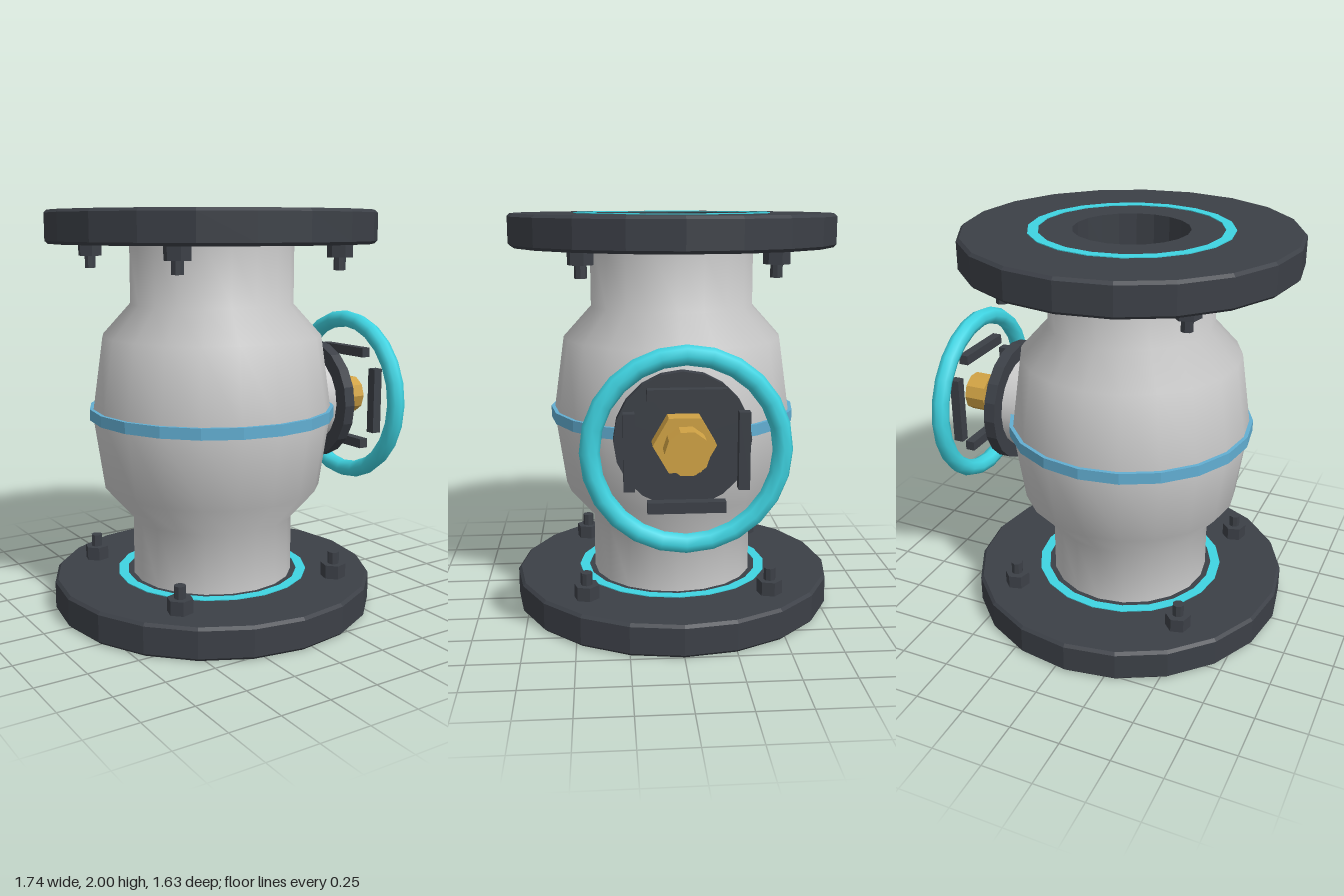
import * as THREE from 'three';

const SIDES = 20;
const AXIS_X = -0.055; // vertical pipe axis

const mat = (color, flatShading = true) => new THREE.MeshStandardMaterial({ color, flatShading });
const dark = mat(0x3c4047);
const shell = mat(0xcccccc, false);
const cyan = mat(0x3fd4e2);
const cyanSmooth = mat(0x3fd4e2, false);
const blue = mat(0x62aed2);
const brass = mat(0xd0a244);

function add(parent, name, geometry, material, x = 0, y = 0, z = 0) {
  const mesh = new THREE.Mesh(geometry, material);
  mesh.name = name;
  mesh.position.set(x, y, z);
  parent.add(mesh);
  return mesh;
}

const lathe = (pts) => new THREE.LatheGeometry(pts.map(([r, y]) => new THREE.Vector2(r, y)), SIDES);

// Rectangular-section ring, its lower face at y = 0
const ring = (ri, ro, h) => lathe([[ri, 0], [ro, 0], [ro, h], [ri, h], [ri, 0]]);

// Cylinder lying along x between x0 and x1
function rod(parent, name, r, x0, x1, sides, material, turn = 0) {
  const geo = new THREE.CylinderGeometry(r, r, x1 - x0, sides, 1, false, turn);
  geo.rotateZ(-Math.PI / 2);
  return add(parent, name, geo, material, (x0 + x1) / 2, 0, 0);
}

export function createModel() {
  const model = new THREE.Group();
  model.name = 'valve';

  const pipe = new THREE.Group();
  pipe.name = 'pipe';
  pipe.position.x = AXIS_X;
  model.add(pipe);

  // Swollen body with straight necks, closed at both ends
  add(pipe, 'body', lathe([
    [0.41, 0.16], [0.41, 0.46], [0.55, 0.62], [0.605, 1.0],
    [0.55, 1.385], [0.41, 1.54], [0.41, 1.84],
  ]), shell);
  add(pipe, 'bodyEnds', new THREE.CylinderGeometry(0.4, 0.4, 1.65, SIDES), shell, 0, 1, 0);
  add(pipe, 'bore', new THREE.CylinderGeometry(0.28, 0.28, 1.66, SIDES), dark, 0, 1, 0);
  add(pipe, 'bodyBand', ring(0.56, 0.62, 0.055), blue, 0, 0.972, 0);

  // Bevelled flanges with a gasket ring on their upper faces
  const h = 0.16, R = 0.815, b = 0.014;
  const flange = lathe([
    [0.28, 0], [R - b, 0], [R, b], [R, h - b], [R - b, h], [0.28, h], [0.28, 0],
  ]);
  const gasket = ring(0.44, 0.49, 0.01);
  for (const [name, y] of [['lowerFlange', 0], ['upperFlange', 1.836]]) {
    add(pipe, name, flange, dark, 0, y, 0);
    add(pipe, name + 'Gasket', gasket, cyan, 0, y + h - 0.006, 0);
  }

  // Nuts and bolt ends on the inner faces of the flanges
  const nut = new THREE.CylinderGeometry(0.063, 0.063, 0.07, 6, 1, false, Math.PI / 4);
  const bolt = new THREE.CylinderGeometry(0.029, 0.029, 0.14, 8);
  for (const sx of [-1, 1]) for (const sz of [-1, 1]) for (const sy of [-1, 1]) {
    const x = sx * 0.45, z = sz * 0.45;
    add(pipe, 'flangeNut', nut, dark, x, 1 + sy * 0.806, z);
    add(pipe, 'flangeBolt', bolt, dark, x, 1 + sy * 0.78, z);
  }

  // Side bonnet, nut and stem
  const actuator = new THREE.Group();
  actuator.name = 'actuator';
  actuator.position.y = 1;
  model.add(actuator);
  rod(actuator, 'bonnetNeck', 0.24, 0.3, 0.57, SIDES, shell);
  rod(actuator, 'bonnetPlate', 0.315, 0.565, 0.625, SIDES, dark);
  rod(actuator, 'stemNut', 0.143, 0.62, 0.725, 6, brass);
  rod(actuator, 'stem', 0.05, 0.72, 0.8, 10, brass);
  rod(actuator, 'hub', 0.1, 0.76, 0.87, 10, brass);

  // Handwheel: rim with four loose bars set in a square
  const wheel = new THREE.Group();
  wheel.name = 'handwheel';
  wheel.position.x = 0.815;
  actuator.add(wheel);
  const rim = new THREE.TorusGeometry(0.42, 0.045, 8, 24);
  rim.rotateY(Math.PI / 2);
  add(wheel, 'rim', rim, cyanSmooth);
  for (let i = 0; i < 4; i++) {
    const a = i * Math.PI / 2;
    const bar = add(wheel, 'wheelBar', new THREE.BoxGeometry(0.05, 0.05, 0.345), dark,
      0, Math.cos(a) * 0.25, Math.sin(a) * 0.25);
    bar.rotation.x = a;
  }
  return model;
}
